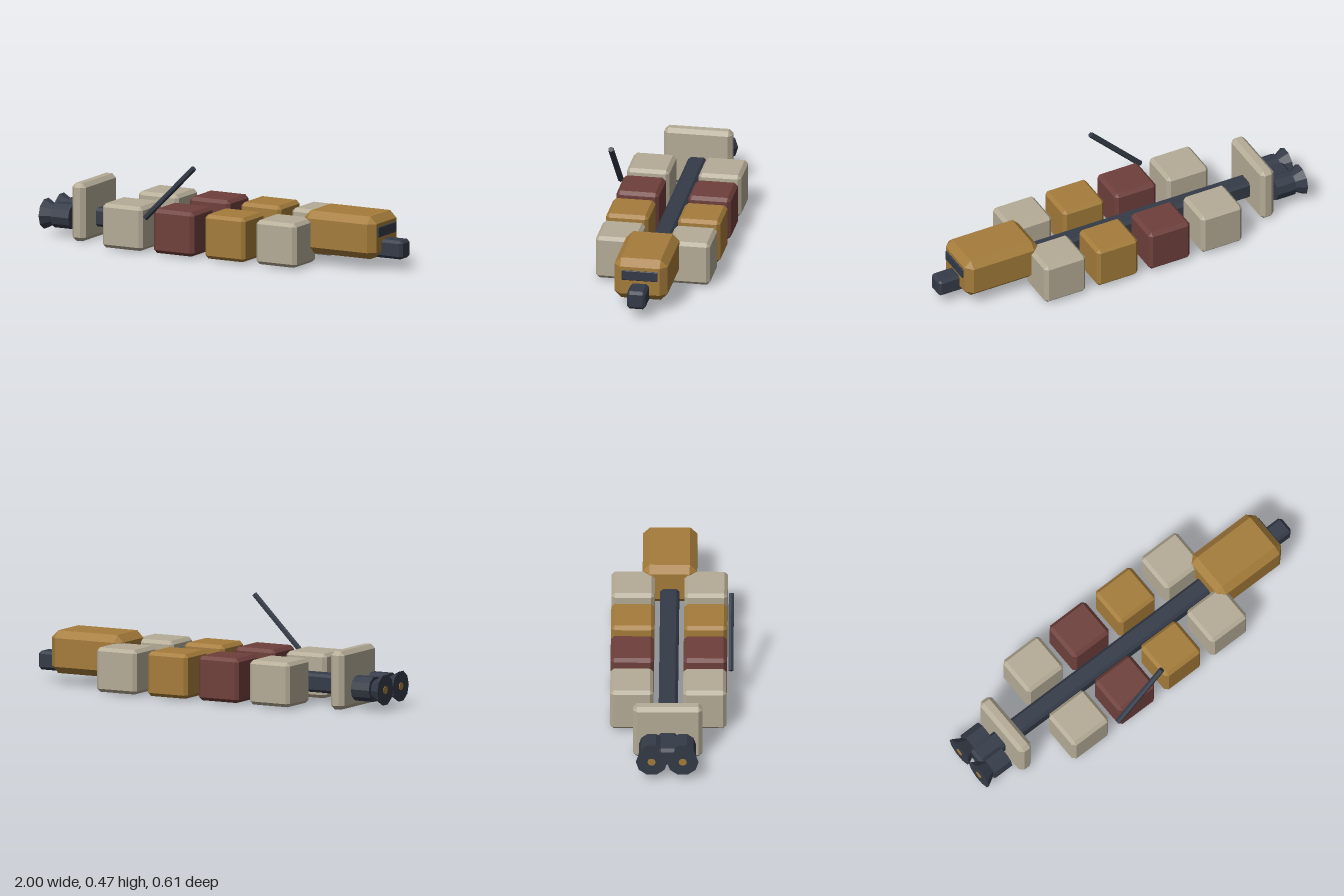
import * as THREE from 'three';
import { ConvexGeometry } from 'three/addons/geometries/ConvexGeometry.js';

const mat = (name, color) => {
  const m = new THREE.MeshStandardMaterial({ color });
  m.name = name;
  m.flatShading = true;
  return m;
};

// Box between two corners with flat chamfers of width c on every edge
function chamferBox(name, min, max, c, material) {
  const centre = min.map((v, i) => (v + max[i]) / 2);
  const half = min.map((v, i) => (max[i] - v) / 2);
  const points = [];
  for (const sx of [-1, 1]) for (const sy of [-1, 1]) for (const sz of [-1, 1]) {
    const sign = [sx, sy, sz];
    for (let face = 0; face < 3; face++) {
      points.push(new THREE.Vector3(...half.map((h, i) => sign[i] * (i === face ? h : h - c))));
    }
  }
  const mesh = new THREE.Mesh(new ConvexGeometry(points), material);
  mesh.name = name;
  mesh.position.set(...centre);
  return mesh;
}

// Cylinder or cone lying along x, from x0 (radius r0) to x1 (radius r1)
function tubeX(name, x0, x1, r0, r1, y, z, sides, material) {
  const geo = new THREE.CylinderGeometry(r1, r0, x1 - x0, sides);
  geo.rotateZ(-Math.PI / 2);
  const mesh = new THREE.Mesh(geo, material);
  mesh.name = name;
  mesh.position.set((x0 + x1) / 2, y, z);
  return mesh;
}

export function createModel() {
  const beige = mat('beige', 0xb5ac97);
  const ochre = mat('ochre', 0xa57c3a);
  const maroon = mat('maroon', 0x6f403c);
  const dark = mat('dark slate', 0x343b48);

  const model = new THREE.Group();
  model.name = 'cargoShip';

  // Central spine, cabin with window strip, and rear shield plate
  model.add(
    chamferBox('spine', [-0.96, 0.057, -0.063], [0.997, 0.15, 0.031], 0.014, dark),
    chamferBox('cabin', [0.48, 0.057, -0.15], [0.885, 0.27, 0.117], 0.035, ochre),
    chamferBox('cabinWindow', [0.884, 0.167, -0.106], [0.893, 0.218, 0.074], 0.003, dark),
    chamferBox('shieldPlate', [-0.806, 0, -0.187], [-0.731, 0.29, 0.154], 0.02, beige),
  );

  // Cargo containers in two rows
  [beige, maroon, ochre, beige].forEach((material, i) => {
    const x = -0.567 + i * 0.29;
    for (const z of [0.057, -0.302]) {
      model.add(chamferBox('container', [x, 0.01, z], [x + 0.228, 0.231, z + 0.213], 0.017, material));
    }
  });

  // Twin engines with flared nozzles and a small burner disc
  for (const z of [0.059, -0.094]) {
    const engine = new THREE.Group();
    engine.name = 'engine';
    engine.add(
      tubeX('engineBody', -0.94, -0.837, 0.064, 0.064, 0.104, z, 10, dark),
      tubeX('nozzle', -0.997, -0.92, 0.078, 0.035, 0.104, z, 10, dark),
      tubeX('burner', -1, -0.996, 0.02, 0.02, 0.104, z, 10, ochre),
    );
    model.add(engine);
  }

  // Slanted antenna rod
  const rodGeo = new THREE.CylinderGeometry(0.0145, 0.0145, 0.388, 6);
  rodGeo.rotateY(Math.PI / 6);
  const rod = new THREE.Mesh(rodGeo, dark);
  rod.name = 'antenna';
  rod.position.set(-0.168, 0.325, 0.291);
  rod.rotation.z = -Math.PI / 4;
  model.add(rod);

  return model;
}
